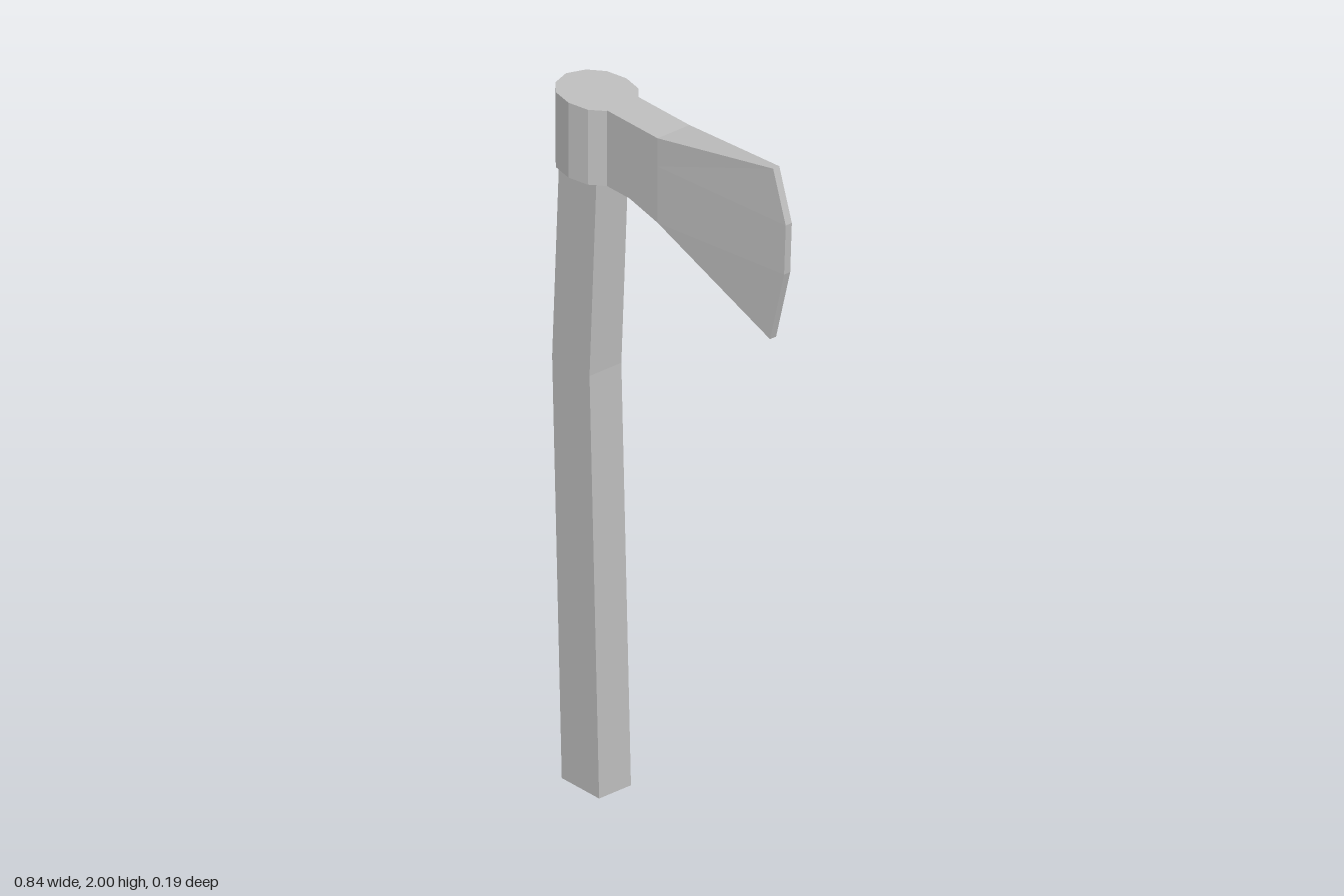
import * as THREE from 'three';

const HALF = 0.052; // half thickness of handle and neck

// Closed 2D outline extruded to a prism
function prism(points, depth) {
  const shape = new THREE.Shape(points.map(([x, y]) => new THREE.Vector2(x, y)));
  return new THREE.ExtrudeGeometry(shape, { depth, bevelEnabled: false });
}

// Tapering blade: each column has [x, y] points from top to bottom and a half thickness
function bladeGeometry(columns) {
  const pos = [];
  const quad = (a, b, c, d) => pos.push(...a, ...b, ...c, ...a, ...c, ...d);
  const at = (i, j, side) => {
    const [x, y] = columns[i].points[j];
    return [x, y, side * columns[i].half];
  };
  const last = columns.length - 1;
  const rows = columns[0].points.length - 1;
  for (let i = 0; i < last; i++) {
    // cheeks
    for (let j = 0; j < rows; j++) {
      quad(at(i, j + 1, 1), at(i + 1, j + 1, 1), at(i + 1, j, 1), at(i, j, 1));
      quad(at(i + 1, j + 1, -1), at(i, j + 1, -1), at(i, j, -1), at(i + 1, j, -1));
    }
    // top and underside
    quad(at(i, 0, 1), at(i + 1, 0, 1), at(i + 1, 0, -1), at(i, 0, -1));
    quad(at(i, rows, -1), at(i + 1, rows, -1), at(i + 1, rows, 1), at(i, rows, 1));
  }
  // cutting edge
  for (let j = 0; j < rows; j++) {
    quad(at(last, j + 1, 1), at(last, j + 1, -1), at(last, j, -1), at(last, j, 1));
  }
  const g = new THREE.BufferGeometry();
  g.setAttribute('position', new THREE.Float32BufferAttribute(pos, 3));
  g.computeVertexNormals();
  return g;
}

export function createModel() {
  const group = new THREE.Group();
  group.name = 'axe';
  const grey = new THREE.MeshStandardMaterial({ color: 0xc0c0c0, flatShading: true });
  grey.name = 'grey';
  const add = (name, geometry) => {
    const mesh = new THREE.Mesh(geometry, grey);
    mesh.name = name;
    group.add(mesh);
    return mesh;
  };

  // Handle, gently bent, ending inside the collar
  const bend = [[-0.374, 0], [-0.41, 1.17], [-0.384, 1.73], [-0.379, 1.85]];
  const outline = [...bend, ...bend.map(([x, y]) => [x + 0.14, y]).reverse()];
  add('handle', prism(outline, 2 * HALF)).position.z = -HALF;

  // Collar around the top of the handle
  const half = [[-0.205, HALF], [-0.241, 0.083], [-0.3, 0.095], [-0.36, 0.083], [-0.4, 0.05]];
  const ring = [...half, [-0.418, 0], ...half.map(([x, z]) => [x, -z]).reverse()];
  const collar = prism(ring, 0.21);
  collar.rotateX(-Math.PI / 2);
  add('collar', collar).position.y = 1.73;

  // Neck and blade, flaring down and out to a thin edge
  const column = (x, top, bottom) => ({
    half: HALF,
    points: [0, 1, 2, 3].map((j) => [x, top + ((bottom - top) * j) / 3]),
  });
  add('blade', bladeGeometry([
    column(-0.205, 1.942, 1.73),
    column(-0.12, 1.942, 1.73),
    column(-0.015, 1.942, 1.705),
    { half: 0.01, points: [[0.37, 2], [0.417, 1.86], [0.411, 1.72], [0.358, 1.517]] },
  ]));

  return group;
}
